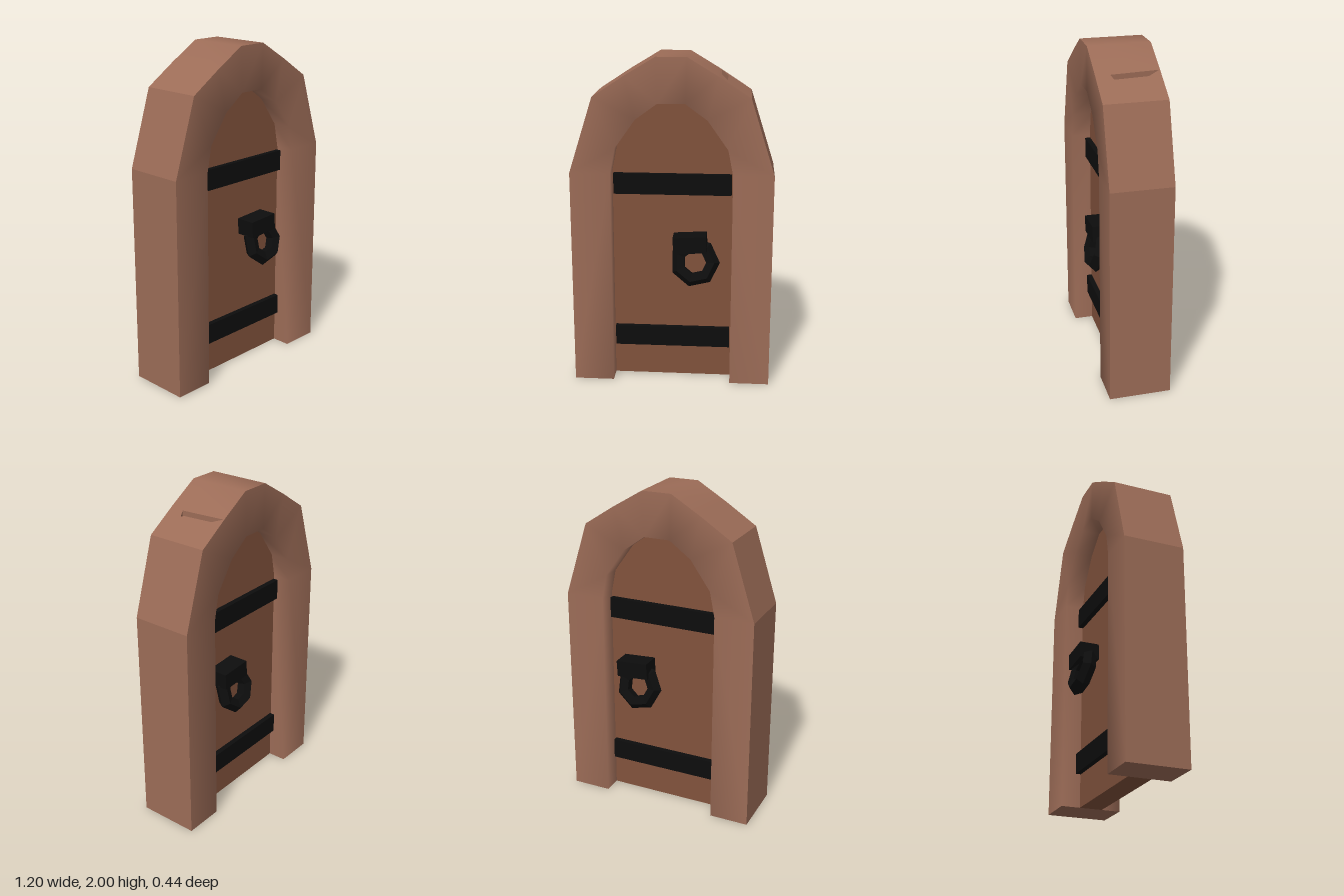
import * as THREE from 'three';

const H = 0.185;   // half depth of the stone frame
const D = 0.07;    // half depth of the door leaf

const stone = new THREE.MeshStandardMaterial({ color: 0x9c6c57, side: THREE.DoubleSide });
stone.name = 'brown stone';
const wood = new THREE.MeshStandardMaterial({ color: 0x81523c });
wood.name = 'dark wood';
const iron = new THREE.MeshStandardMaterial({ color: 0x0d0d0d, flatShading: true });
iron.name = 'black iron';

// Arch outlines, from the right foot over the top to the left foot
const mirrored = (half) => [...half, ...half.map(([x, y]) => [-x, y]).reverse()];
const OUTER = mirrored([[0.6, 0], [0.6, 1.32], [0.457, 1.77], [0.27, 1.892], [0.09, 2]]);
const INNER = mirrored([[0.36, 0], [0.36, 1.32], [0.33, 1.47], [0.21, 1.64], [0.08, 1.735]]);
const at = (points, z) => points.map(([x, y]) => [x, y, z]);

// Smooth sheet joining successive rings of points
function sheet(rings, flipFrom = Infinity) {
  const n = rings[0].length;
  const index = [];
  for (let r = 0; r < rings.length - 1; r++) {
    for (let i = 0; i < n - 1; i++) {
      const a = r * n + i, b = a + 1, c = a + n + 1, d = a + n;
      if (i >= flipFrom) index.push(a, b, d, b, c, d);
      else index.push(a, b, c, a, c, d);
    }
  }
  const g = new THREE.BufferGeometry();
  g.setAttribute('position', new THREE.Float32BufferAttribute(rings.flat(2), 3));
  g.setIndex(index);
  g.computeVertexNormals();
  return g;
}

function add(parent, name, geometry, material) {
  const mesh = new THREE.Mesh(geometry, material);
  mesh.name = name;
  parent.add(mesh);
  return mesh;
}

// Right-hand roof slope with a chipped notch sunk into it
function addChippedSlope(parent) {
  const [[x0, y0], [x1, y1]] = [OUTER[3], OUTER[2]];
  const slopeY = (x) => y0 + (y1 - y0) * (x - x0) / (x1 - x0);
  const notch = [[0.276, -0.18], [0.318, -0.095], [0.318, 0.085], [0.286, 0.1]];
  const toShape = (pts) => new THREE.Shape(pts.map(([x, z]) => new THREE.Vector2(x, -z)));
  const lay = (shape, drop) => {
    const g = new THREE.ShapeGeometry(shape).rotateX(-Math.PI / 2);
    const p = g.attributes.position;
    for (let i = 0; i < p.count; i++) p.setY(i, slopeY(p.getX(i)) - drop);
    g.computeVertexNormals();
    return g;
  };
  const slope = toShape([[x0, H], [x1, H], [x1, -H], [x0, -H]]);
  slope.holes.push(toShape(notch));
  add(parent, 'chippedSlope', lay(slope, 0), stone);
  add(parent, 'notchFloor', lay(toShape(notch), 0.03), stone);
  const rim = [...notch, notch[0]];
  const ring = (drop) => rim.map(([x, z]) => [x, slopeY(x) - drop, z]);
  add(parent, 'notchWalls', sheet([ring(0), ring(0.03)]).toNonIndexed(), stone)
    .geometry.computeVertexNormals();
}

// Stone arch: soft faces and reveals, crisp outer walls
function createFrame() {
  const frame = new THREE.Group();
  frame.name = 'stoneFrame';
  for (const turn of [0, Math.PI]) {
    const face = sheet([at(OUTER, H), at(INNER, H), at(INNER, D - 0.01)], 5);
    add(frame, turn ? 'backArchFace' : 'frontArchFace', face.rotateY(turn), stone);
  }
  const walls = { leftSide: [0, 1], leftShoulder: [1, 2], roof: [3, 7], rightShoulder: [7, 8], rightSide: [8, 9] };
  for (const [name, [from, to]] of Object.entries(walls)) {
    const points = OUTER.slice(from, to + 1);
    add(frame, name, sheet([at(points, -H), at(points, H)]), stone);
  }
  addChippedSlope(frame);
  for (const s of [-1, 1]) {
    const foot = new THREE.PlaneGeometry(0.24, 2 * H).rotateX(Math.PI / 2).translate(s * 0.48, 0, 0);
    add(frame, s > 0 ? 'leftFoot' : 'rightFoot', foot, stone);
  }
  return frame;
}

// Ring pull hanging from a mounting block, leaning outward at the bottom
function createHandle() {
  const handle = new THREE.Group();
  const block = add(handle, 'handleMount', new THREE.BoxGeometry(0.2, 0.1, 0.13), iron);
  block.position.set(-0.03, 0.89, D + 0.055);
  block.rotation.z = 0.06;
  const ring = add(handle, 'handleRing', new THREE.TorusGeometry(0.105, 0.045, 5, 7), iron);
  ring.position.set(0, 0.775, 0.15);
  ring.rotation.set(-0.25, 0, 0);
  return handle;
}

export function createModel() {
  const model = new THREE.Group();
  model.name = 'archedDoor';
  const body = new THREE.Group();
  body.name = 'doorway';
  body.position.z = -0.004;
  model.add(body);
  body.add(createFrame());

  // Door leaf filling the arch
  const leafShape = new THREE.Shape(INNER.map(([x, y]) => new THREE.Vector2(x, y)));
  const leaf = new THREE.ExtrudeGeometry(leafShape, { depth: 2 * D, bevelEnabled: false });
  add(body, 'doorLeaf', leaf.translate(0, 0, -D), wood);

  // Iron straps and ring handles on both sides
  for (const s of [1, -1]) {
    const side = s > 0 ? 'front' : 'back';
    for (const [name, y] of [['LowerStrap', 0.265], ['UpperStrap', 1.24]]) {
      const strap = add(body, side + name, new THREE.BoxGeometry(0.705, 0.125, 0.04), iron);
      strap.position.set(0, y, s * (D + 0.012));
    }
    const handle = createHandle();
    handle.name = side + 'Handle';
    handle.position.x = 0.14;
    handle.rotation.y = s > 0 ? 0 : Math.PI;
    body.add(handle);
  }
  return model;
}
